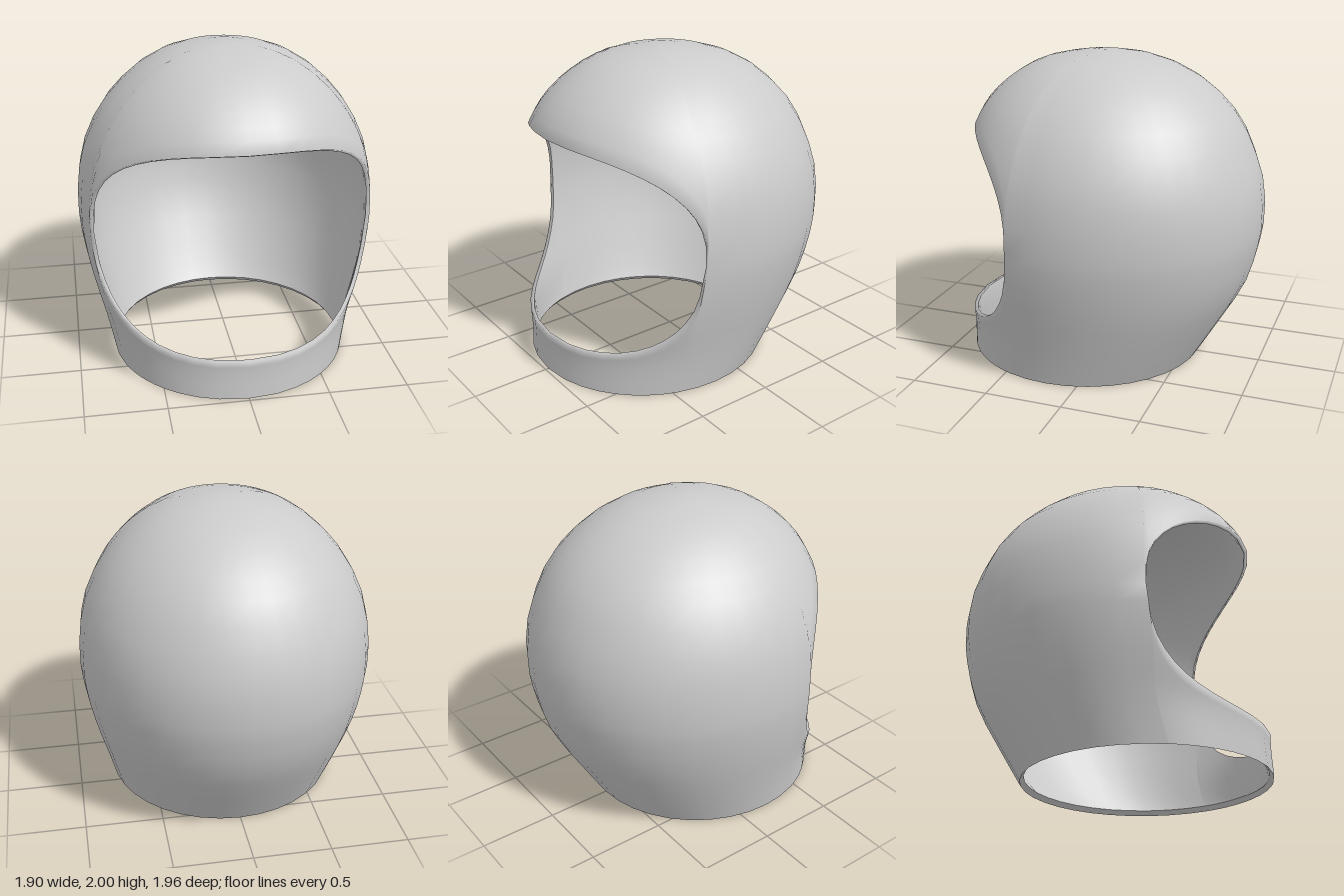
import * as THREE from 'three';

const THICKNESS = 0.025;
const NECK_BEVEL = 0.03; // rise of the neck rim from its outer to its inner edge
const LOWER_ROWS = 7, UPPER_ROWS = 11; // rows below / above the middle of the visor opening
const FRONT_COLS = 24, BACK_COLS = 22;

// Level sections of the shell: height, half width, front z, back z
const SECTIONS = [
  [0, 0.76, 0.98, -0.58], [0.26, 0.82, 0.977, -0.735], [0.53, 0.89, 1.05, -0.885],
  [0.77, 0.935, 1.065, -0.955], [0.97, 0.95, 1.06, -0.98], [1.18, 0.935, 1.035, -0.965],
  [1.37, 0.89, 0.98, -0.905], [1.555, 0.8, 0.905, -0.82], [1.7, 0.69, 0.815, -0.705],
  [1.83, 0.55, 0.67, -0.55], [1.93, 0.38, 0.49, -0.35], [1.98, 0.2, 0.27, -0.14],
  [2, 0, 0.07, 0.07],
];
const sideCurve = new THREE.SplineCurve(SECTIONS.map(([y, w]) => new THREE.Vector2(w, y)));
const depthCurve = new THREE.SplineCurve(SECTIONS.map(([, , f, b]) => new THREE.Vector2(f, b)));

// Point on the shell at angle th (0 = front) and profile position s (0 = neck, 1 = crown)
function shellPoint(th, s) {
  const side = sideCurve.getPoint(s), depth = depthCurve.getPoint(s);
  const mid = (depth.x + depth.y) / 2, half = (depth.x - depth.y) / 2;
  return [side.x * Math.sin(th), side.y, mid + half * Math.cos(th)];
}

// Profile position of a given height
function profileAt(y) {
  let lo = 0, hi = 1;
  for (let i = 0; i < 40; i++) {
    const m = (lo + hi) / 2;
    if (sideCurve.getPoint(m).y < y) lo = m; else hi = m;
  }
  return (lo + hi) / 2;
}

// Visor opening: superellipse halves in angle and height, squarer along the chin
const VISOR = { y: 0.905, halfAngle: THREE.MathUtils.degToRad(70), halfHeight: 0.648 };
function visorEdge(u, up) {
  const power = up > 0 ? 2.6 : 3.2;
  const drop = Math.max(0, 1 - Math.abs(u) ** power) ** (1 / power);
  return { th: u * VISOR.halfAngle, s: profileAt(VISOR.y + up * VISOR.halfHeight * drop) };
}

function makeGeometry(positions, index) {
  const g = new THREE.BufferGeometry();
  g.setAttribute('position', new THREE.Float32BufferAttribute(positions, 3));
  g.setIndex(index);
  g.computeVertexNormals();
  return g;
}

// Outer surface: closed ring of columns, the front ones interrupted by the visor opening
function buildOuter() {
  const positions = [], index = [], columns = [];
  const add = (th, s) => positions.push(...shellPoint(th, s)) / 3 - 1;
  const crown = add(0, 1);

  function addColumn(low, high, open) {
    const lower = [], upper = [];
    for (let i = 0; i <= LOWER_ROWS; i++) lower.push(add(low.th, low.s * i / LOWER_ROWS));
    for (let i = 0; i < UPPER_ROWS; i++) {
      if (i === 0 && !open) upper.push(lower[LOWER_ROWS]);
      else upper.push(add(high.th, high.s + (1 - high.s) * i / UPPER_ROWS));
    }
    upper.push(crown);
    columns.push({ lower, upper });
  }

  // Front columns crowd towards the steep sides of the opening
  for (let j = 0; j <= FRONT_COLS; j++) {
    const t = Math.sin(Math.PI * (j / FRONT_COLS - 0.5));
    const u = Math.sign(t) * Math.abs(t) ** 0.8;
    addColumn(visorEdge(u, -1), visorEdge(u, 1), j > 0 && j < FRONT_COLS);
  }
  const corner = visorEdge(1, 1);
  for (let j = 1; j < BACK_COLS; j++) {
    const th = corner.th + (2 * Math.PI - 2 * corner.th) * j / BACK_COLS;
    addColumn({ th, s: corner.s }, { th, s: corner.s }, false);
  }

  columns.forEach((c, j) => {
    const n = columns[(j + 1) % columns.length];
    for (const part of ['lower', 'upper']) {
      const a = c[part], b = n[part];
      for (let i = 0; i < a.length - 1; i++) {
        index.push(a[i], b[i], b[i + 1]);
        if (a[i + 1] !== crown) index.push(a[i], b[i + 1], a[i + 1]);
      }
    }
  });
  // Visor loop runs along the chin, then back along the brow
  const neckLoop = columns.map((c) => c.lower[0]), visorLoop = [];
  for (let j = 0; j <= FRONT_COLS; j++) visorLoop.push(columns[j].lower[LOWER_ROWS]);
  for (let j = FRONT_COLS - 1; j > 0; j--) visorLoop.push(columns[j].upper[0]);
  return { positions, index, visorLoop, neckLoop };
}

// Quads between two matching closed loops of vertex indices
function bridge(index, from, to) {
  from.forEach((a, k) => {
    const m = (k + 1) % from.length;
    index.push(a, from[m], to[m], a, to[m], to[k]);
  });
}

export function createModel() {
  const group = new THREE.Group();
  const material = new THREE.MeshStandardMaterial({ color: 0xcccccc });
  const addMesh = (name, geometry) => {
    const mesh = new THREE.Mesh(geometry, material);
    mesh.name = name;
    group.add(mesh);
  };

  const outer = buildOuter();
  const normals = makeGeometry(outer.positions, outer.index).getAttribute('normal');

  // Inner lining: the outer surface moved inwards, with a level edge at the neck
  const neck = new Set(outer.neckLoop);
  const inner = [];
  for (let i = 0; i < normals.count; i++) {
    const n = new THREE.Vector3().fromBufferAttribute(normals, i);
    if (neck.has(i)) n.setY(0).normalize();
    const p = new THREE.Vector3().fromArray(outer.positions, i * 3).addScaledVector(n, -THICKNESS);
    inner.push(p.x, neck.has(i) ? NECK_BEVEL : p.y, p.z);
  }
  const flipped = [];
  for (let i = 0; i < outer.index.length; i += 3) {
    flipped.push(outer.index[i], outer.index[i + 2], outer.index[i + 1]);
  }
  addMesh('innerLining', makeGeometry(inner, flipped));

  // Outer shell with the visor lip blended into it
  const shell = outer.positions.slice(), shellIndex = outer.index.slice();
  const lip = outer.visorLoop.map((v) => shell.push(...inner.slice(v * 3, v * 3 + 3)) / 3 - 1);
  bridge(shellIndex, outer.visorLoop, lip);
  addMesh('outerShell', makeGeometry(shell, shellIndex));

  // Bevelled ring round the neck opening
  const ring = [], ringIndex = [];
  const copy = (source) => outer.neckLoop.map((v) => ring.push(...source.slice(v * 3, v * 3 + 3)) / 3 - 1);
  const innerEdge = copy(inner), outerEdge = copy(outer.positions);
  bridge(ringIndex, innerEdge, outerEdge);
  addMesh('neckRim', makeGeometry(ring, ringIndex));

  return group;
}
